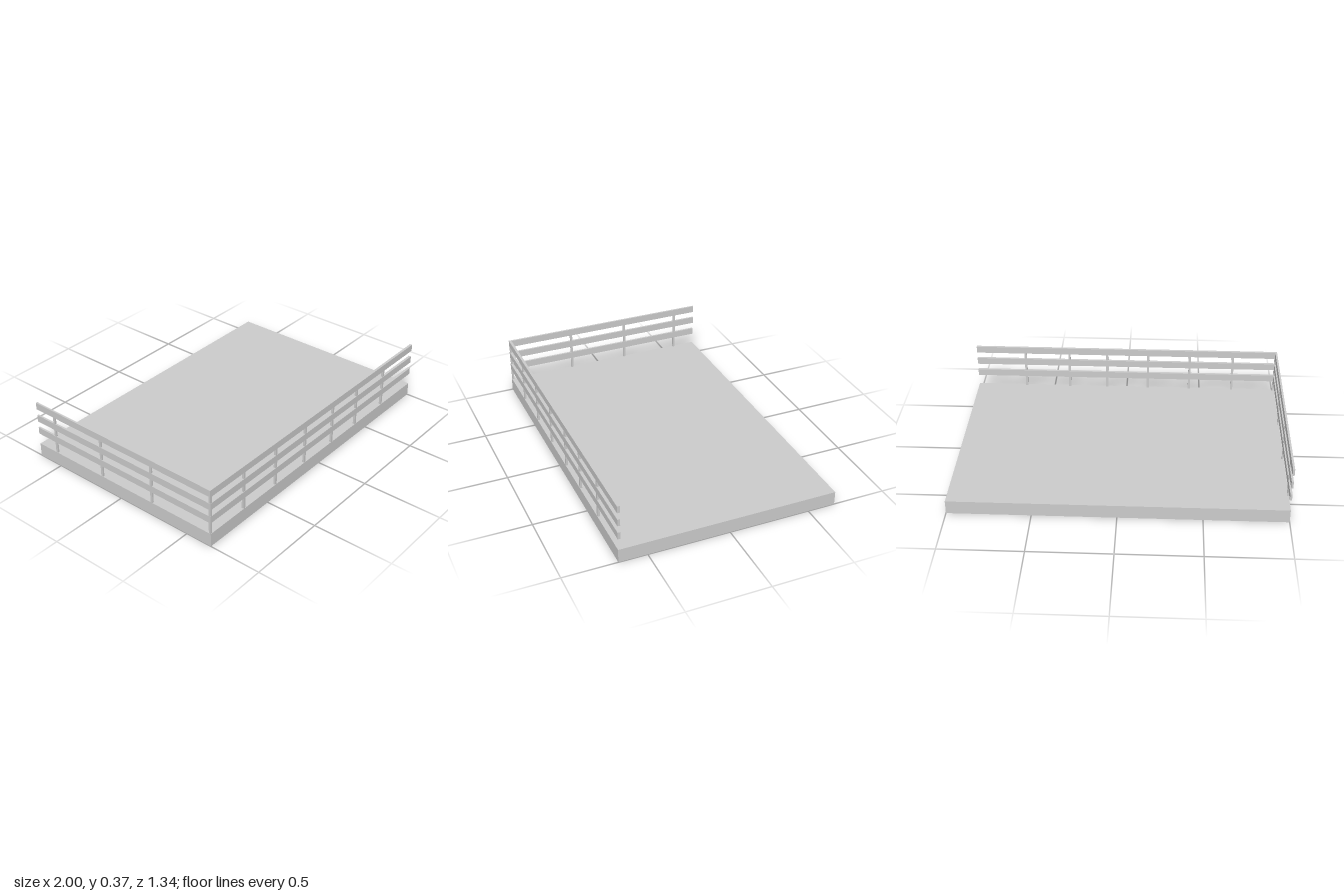
import * as THREE from 'three';

export function createModel() {
  const model = new THREE.Group();
  const material = new THREE.MeshStandardMaterial({ color: 0xcccccc, flatShading: true });

  const W = 2, D = 1.344;             // platform footprint
  const baseTop = 0.085, top = 0.374; // platform and fence heights
  const frontT = 0.016, sideT = 0.012; // rail thicknesses
  const postW = 0.015;
  const railYs = [0.179, 0.266, 0.352], railH = 0.044;

  // Box helper: size and centre
  function box(parent, name, w, h, d, x, y, z) {
    const mesh = new THREE.Mesh(new THREE.BoxGeometry(w, h, d), material);
    mesh.name = name;
    mesh.position.set(x, y, z);
    parent.add(mesh);
  }

  // Platform slab
  box(model, 'platform', W, baseTop, D, 0, baseTop / 2, 0);

  const frontFence = new THREE.Group();
  frontFence.name = 'frontFence';
  const sideFence = new THREE.Group();
  sideFence.name = 'rightFence';
  model.add(frontFence, sideFence);

  const frontZ = D / 2 - frontT / 2;
  const sideX = -W / 2 + sideT / 2;

  // Horizontal rails; the side rails butt against the front ones
  for (const y of railYs) {
    box(frontFence, 'frontRail', W, railH, frontT, 0, y, frontZ);
    box(sideFence, 'sideRail', sideT, railH, D - frontT, sideX, y, -frontT / 2);
  }

  // Posts, slimmer than the rails and centred within them
  const postH = top - 0.001 - baseTop, postY = baseTop + postH / 2;
  for (const x of [-0.711, -0.425, -0.147, 0.128, 0.38, 0.674])
    box(frontFence, 'frontPost', postW, postH, frontT - 0.003, x, postY, frontZ);
  for (const z of [0.239, -0.148, -0.525])
    box(sideFence, 'sidePost', sideT - 0.002, postH, postW, sideX, postY, z);

  // Shared corner post
  box(model, 'cornerPost', postW - 0.002, postH, postW - 0.002, -W / 2 + postW / 2, postY, frontZ);

  return model;
}
